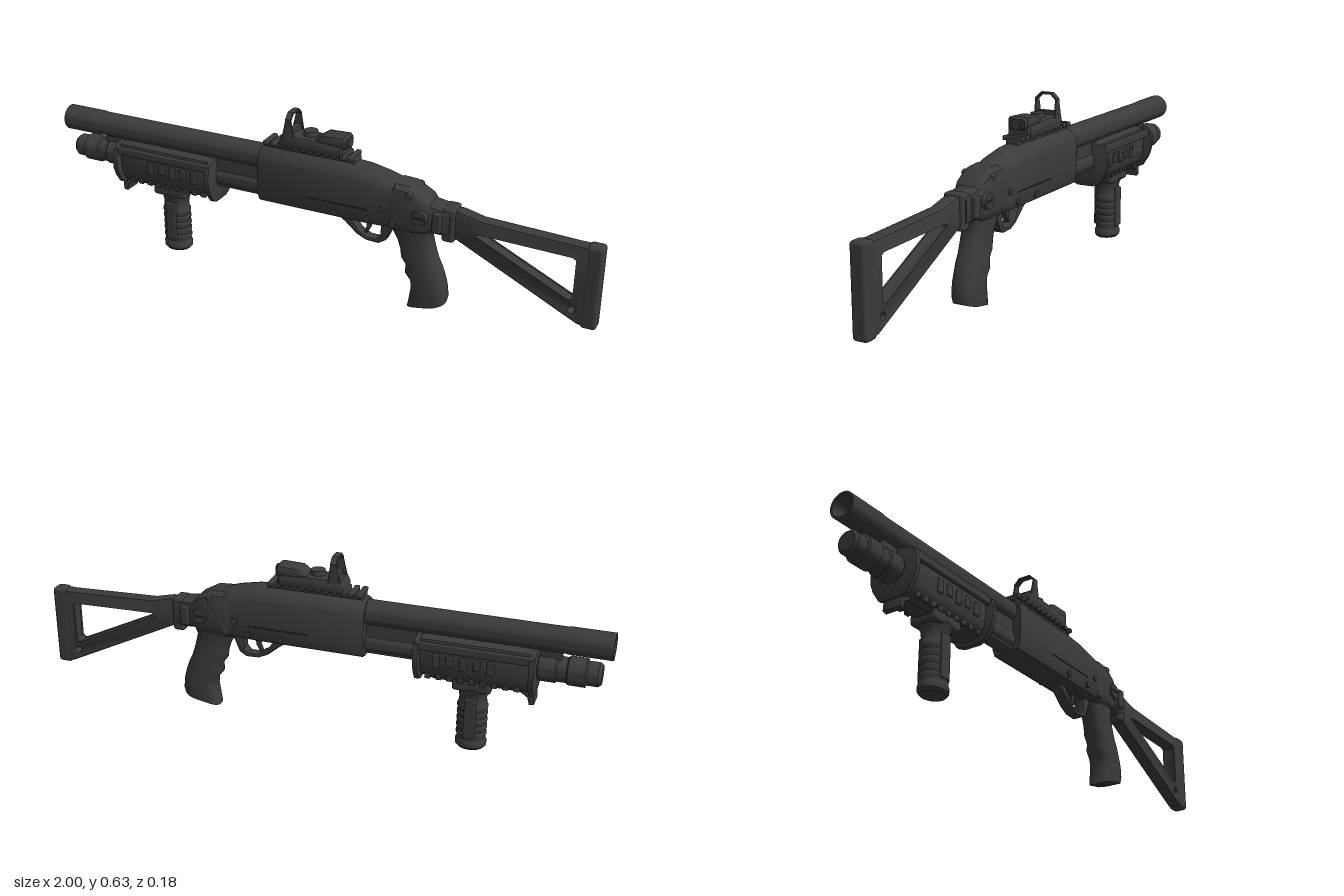
import * as THREE from 'three';
import { toCreasedNormals, mergeVertices } from 'three/addons/utils/BufferGeometryUtils.js';
import { RoundedBoxGeometry } from 'three/addons/geometries/RoundedBoxGeometry.js';

export function createModel() {
  const root = new THREE.Group();
  const gunmetal = new THREE.MeshStandardMaterial({ name: 'charcoal', color: 0x3b3b3b });
  const seamMat = new THREE.MeshStandardMaterial({ name: 'dark seam', color: 0x242424 });

  const add = (name, geo, x = 0, y = 0, z = 0, mat = gunmetal) => {
    const m = new THREE.Mesh(geo, mat);
    m.name = name;
    m.position.set(x, y, z);
    root.add(m);
    return m;
  };
  const crease = (g, a = 0.6) => toCreasedNormals(g, a);
  const box = (name, x0, x1, y0, y1, hz, z = 0, r = 0.005, mat) => add(name,
    new RoundedBoxGeometry(x1 - x0, y1 - y0, hz * 2, 2, r), (x0 + x1) / 2, (y0 + y1) / 2, z, mat);

  // Lathe about the x axis, from [x, radius] pairs with x increasing
  const latheX = (name, pts, y, z = 0) => {
    const g = new THREE.LatheGeometry(pts.map(([x, r]) => new THREE.Vector2(r, x)), 32);
    g.rotateZ(-Math.PI / 2);
    return add(name, crease(g), 0, y, z);
  };

  // Flat outline pushed along z, with optional holes
  const outline = (p, T = THREE.Shape) => new T(p.map(([x, y]) => new THREE.Vector2(x, y)));
  const plate = (p, holes, hz, bevel = 0.006) => {
    const s = outline(p);
    s.holes = holes.map((h) => outline(h, THREE.Path));
    const g = new THREE.ExtrudeGeometry(s, { depth: 2 * (hz - bevel), bevelEnabled: bevel > 0,
      bevelThickness: bevel, bevelSize: bevel, bevelOffset: -bevel, bevelSegments: 2, curveSegments: 8 });
    g.translate(0, 0, -(hz - bevel));
    return crease(g);
  };

  // Closed skin through equal-length rings, with fan caps
  const loft = (rings, angle = 0.6) => {
    const n = rings[0].length, pos = rings.flat(2), idx = [];
    for (let i = 0; i < rings.length - 1; i++) for (let j = 0; j < n; j++) {
      const a = i * n + j, b = i * n + (j + 1) % n;
      idx.push(a, b, a + n, b, b + n, a + n);
    }
    const e = (rings.length - 1) * n;
    for (let j = 1; j < n - 1; j++) idx.push(0, j + 1, j, e, e + j, e + j + 1);
    const v = (k) => new THREE.Vector3(...pos.slice(k * 3, k * 3 + 3));
    let vol = 0;
    for (let i = 0; i < idx.length; i += 3) vol += v(idx[i]).dot(v(idx[i + 1]).cross(v(idx[i + 2])));
    if (vol < 0) idx.reverse();
    const g = new THREE.BufferGeometry();
    g.setAttribute('position', new THREE.Float32BufferAttribute(pos, 3));
    g.setIndex(idx);
    return crease(mergeVertices(g), angle);
  };

  // Body section across x: half outline as [z share, y share], mirrored
  const body = (stations, half) => loft(stations.map(([x, y0, y1, hz]) => {
    const at = (s) => ([z, y]) => [x, y0 + (y1 - y0) * y, s * z * hz];
    return [...half.map(at(1)), ...half.slice().reverse().map(at(-1))];
  }));
  const domed = [[0.6, 0], [0.85, 0.04], [0.97, 0.14], [1, 0.35], [1, 0.76], [0.92, 0.84], [0.7, 0.92], [0.42, 0.98], [0.14, 1]];
  const chamfered = [[0.6, 0], [0.9, 0.1], [1, 0.25], [1, 0.78], [0.9, 0.92], [0.6, 1]];

  // Barrel with an open bore
  latheX('barrel', [[-0.5, 0.001], [-0.5, 0.037], [-1, 0.037], [-1, 0.045], [-0.86, 0.045], [-0.85, 0.043], [-0.17, 0.043], [-0.17, 0.001]].reverse().map((p) => p).reverse(), 0.44)
    .material = new THREE.MeshStandardMaterial().copy(gunmetal);
  root.children[0].material = gunmetal;
  gunmetal.side = THREE.DoubleSide;

  // Magazine tube and ribbed end cap
  latheX('magazineTube', [[-0.86, 0.001], [-0.86, 0.037], [-0.17, 0.037], [-0.17, 0.001]], 0.335);
  latheX('magazineCap', [[-0.97, 0.001], [-0.97, 0.032], [-0.96, 0.04], [-0.925, 0.04], [-0.92, 0.048],
    [-0.865, 0.048], [-0.86, 0.042], [-0.83, 0.042], [-0.825, 0.047], [-0.77, 0.047], [-0.76, 0.001]], 0.336);
  box('barrelBracket', -0.84, -0.77, 0.36, 0.42, 0.018);
  box('tubeBridge', -0.37, -0.18, 0.3, 0.415, 0.027);

  // Sliding fore-end with ribs, side rails and end flanges
  add('foreEnd', body([[-0.755, 0.255, 0.4, 0.058], [-0.735, 0.246, 0.405, 0.064], [-0.43, 0.246, 0.405, 0.064],
    [-0.38, 0.258, 0.4, 0.058]], [[0.4, 0], [0.75, 0.1], [0.95, 0.28], [1, 0.5], [1, 0.8], [0.9, 0.96], [0.72, 1]]));
  const fl = [[0.03, 0.405], [0.064, 0.396], [0.08, 0.386], [0.09, 0.35], [0.089, 0.315], [0.078, 0.285], [0.055, 0.25], [0.03, 0.24]];
  const flange = fl.concat(fl.map(([z, y]) => [-z, y]).reverse());
  for (const x of [-0.757, -0.378]) {
    const f = add('foreEndFlange', plate(flange, [], 0.009, 0.003), x);
    f.rotation.y = Math.PI / 2;
  }
  for (const s of [1, -1]) {
    box('sideRail', -0.76, -0.375, 0.365, 0.393, 0.008, s * 0.07, 0.004);
    for (let i = 0; i < 5; i++) {
      const x = -0.635 + i * 0.045;
      box('foreEndRib', x, x + 0.024, 0.305 + (i % 2) * 0.008, 0.352, 0.006, s * 0.064, 0.004);
    }
    for (let i = 0; i < 9; i++) box('lowerRib', -0.72 + i * 0.037, -0.7 + i * 0.037, 0.256, 0.275, 0.007, s * 0.049, 0.003);
  }
  const stop = add('handStop', plate([[-0.765, 0.26], [-0.768, 0.208], [-0.752, 0.205], [-0.745, 0.232], [-0.715, 0.252]], [], 0.034, 0.003));
  stop.position.x = 0.002;

  // Vertical foregrip
  box('foregripMount', -0.625, -0.495, 0.225, 0.265, 0.05, 0, 0.01);
  const gripPts = [[0.001, 0.006], [0.045, 0.006], [0.053, 0.015], [0.053, 0.032], [0.049, 0.038]];
  for (let i = 0; i < 5; i++) gripPts.push([0.049, 0.05 + i * 0.025], [0.052, 0.056 + i * 0.025], [0.052, 0.064 + i * 0.025], [0.048, 0.07 + i * 0.025]);
  gripPts.push([0.046, 0.19], [0.05, 0.215], [0.062, 0.235], [0.001, 0.236]);
  add('foregrip', crease(new THREE.LatheGeometry(gripPts.map((p) => new THREE.Vector2(...p)), 28)), -0.56).scale.z = 0.86;
  for (const s of [1, -1]) box('foregripPanel', -0.58, -0.54, 0.05, 0.2, 0.006, s * 0.042);

  // Receiver
  add('receiver', body([[-0.192, 0.292, 0.488, 0.057], [-0.185, 0.288, 0.492, 0.06], [0.13, 0.288, 0.492, 0.06], [0.2, 0.288, 0.487, 0.06],
    [0.27, 0.29, 0.473, 0.058], [0.32, 0.295, 0.458, 0.055], [0.36, 0.3, 0.44, 0.05]], domed));
  for (const s of [1, -1]) {
    box('receiverSeam', 0.0, 0.22, 0.346, 0.35, 0.003, s * 0.0585, 0.001, seamMat);
    for (const [x, y] of [[0.1, 0.315], [0.22, 0.318], [0.27, 0.36]]) {
      add('pin', new THREE.CylinderGeometry(0.011, 0.011, 0.01, 16).rotateX(Math.PI / 2), x, y, s * 0.059);
    }
  }

  // Trigger guard and trigger
  add('triggerGuard', plate([[0.07, 0.3], [0.12, 0.268], [0.165, 0.23], [0.2, 0.214], [0.245, 0.212], [0.27, 0.228], [0.3, 0.3]],
    [[[0.142, 0.284], [0.172, 0.244], [0.205, 0.226], [0.238, 0.226], [0.252, 0.242], [0.252, 0.284]]], 0.02, 0.004));
  add('trigger', plate([[0.19, 0.295], [0.197, 0.262], [0.188, 0.236], [0.197, 0.235], [0.21, 0.258], [0.215, 0.295]], [], 0.009, 0.002));

  // Stock adapter with collar and pivot discs
  add('stockAdapter', body([[0.285, 0.29, 0.43, 0.056], [0.31, 0.285, 0.455, 0.06], [0.36, 0.285, 0.452, 0.06], [0.415, 0.29, 0.422, 0.054],
    [0.43, 0.3, 0.405, 0.046], [0.5, 0.295, 0.395, 0.04]], chamfered));
  const band = add('adapterBand', new RoundedBoxGeometry(0.022, 0.155, 0.122, 2, 0.008), 0.335, 0.37, 0);
  band.rotation.z = -0.45;
  for (const s of [1, -1]) {
    add('pivotDisc', new THREE.CylinderGeometry(0.026, 0.03, 0.014, 24).rotateX(s * Math.PI / 2), 0.4, 0.358, s * 0.057);
    box('pivotSlot', 0.383, 0.417, 0.354, 0.362, 0.003, s * 0.063, 0.001, seamMat);
    box('hingeLug', 0.445, 0.475, 0.315, 0.385, 0.012, s * 0.046);
  }

  // Pistol grip with finger grooves: [y, front x, back x, half width]
  const gripRows = [[0.3, 0.285, 0.44, 0.045], [0.275, 0.295, 0.43, 0.043], [0.245, 0.312, 0.437, 0.041], [0.215, 0.322, 0.445, 0.042],
    [0.185, 0.326, 0.455, 0.043], [0.16, 0.345, 0.467, 0.044], [0.13, 0.342, 0.478, 0.045], [0.105, 0.362, 0.485, 0.045],
    [0.08, 0.366, 0.489, 0.045], [0.045, 0.36, 0.492, 0.045], [0.018, 0.354, 0.488, 0.042]];
  add('pistolGrip', loft(gripRows.map(([y, f, b, hz], k) => Array.from({ length: 24 }, (_, j) => {
    const a = j / 24 * Math.PI * 2, c = Math.cos(a), s = Math.sin(a);
    const p = (t) => Math.sign(t) * Math.abs(t) ** 0.72;
    const tilt = Math.max(0, (k - 7) / 3) * 0.018 * c; // slanted base
    return [(f + b) / 2 + p(c) * (b - f) / 2, y + tilt, p(s) * hz];
  })), 0.8));

  // Skeleton stock
  box('stockHinge', 0.472, 0.515, 0.28, 0.4, 0.036, 0, 0.01);
  add('stockFrame', plate([[0.49, 0.39], [0.53, 0.392], [0.6, 0.375], [0.93, 0.362], [0.985, 0.364], [0.995, 0.355], [0.995, 0.088],
    [0.985, 0.078], [0.935, 0.086], [0.52, 0.29], [0.49, 0.3]],
  [[[0.575, 0.325], [0.6, 0.333], [0.905, 0.325], [0.922, 0.315], [0.922, 0.172], [0.908, 0.16], [0.895, 0.162], [0.58, 0.313]],
    Array.from({ length: 12 }, (_, i) => [0.915 + 0.011 * Math.cos(i * Math.PI / 6), 0.132 + 0.011 * Math.sin(i * Math.PI / 6)])], 0.025, 0.007));
  box('buttPad', 0.945, 0.998, 0.076, 0.368, 0.027, 0, 0.012);

  // Sight rail with cross slots
  box('sightRail', -0.18, 0.16, 0.484, 0.505, 0.024, 0, 0.004);
  for (let i = 0; i < 12; i++) box('railTooth', -0.178 + i * 0.0285, -0.16 + i * 0.0285, 0.498, 0.514, 0.04, 0, 0.004);

  // Reflex sight: base, rear housing, knob and window frame
  add('sightBase', body([[-0.115, 0.503, 0.535, 0.038], [-0.105, 0.5, 0.552, 0.042], [0.0, 0.5, 0.552, 0.042], [0.11, 0.5, 0.545, 0.042],
    [0.118, 0.505, 0.535, 0.036]], chamfered));
  add('sightHousing', body([[0.015, 0.535, 0.552, 0.03], [0.045, 0.53, 0.572, 0.036], [0.118, 0.53, 0.575, 0.036], [0.126, 0.535, 0.568, 0.03]], chamfered));
  add('sightKnob', new THREE.CylinderGeometry(0.024, 0.027, 0.022, 24), -0.015, 0.557, 0);
  add('housingButton', new THREE.CylinderGeometry(0.018, 0.02, 0.01, 20).rotateZ(-Math.PI / 2), 0.127, 0.55, 0);
  const win = (w, y0, y1, c) => [[-w, y0], [w, y0], [w, y1 - c], [w - c, y1], [c - w, y1], [-w, y1 - c]];
  const frame = add('sightWindowFrame', plate(win(0.042, 0.54, 0.628, 0.02), [win(0.035, 0.566, 0.621, 0.017)], 0.011, 0.002), -0.08);
  frame.rotation.y = Math.PI / 2;
  for (const s of [1, -1]) add('windowBrace', plate([[-0.105, 0.54], [-0.06, 0.54], [-0.07, 0.605], [-0.09, 0.605]], [], 0.003, 0.001), 0, 0, s * 0.0385);

  return root;
}
